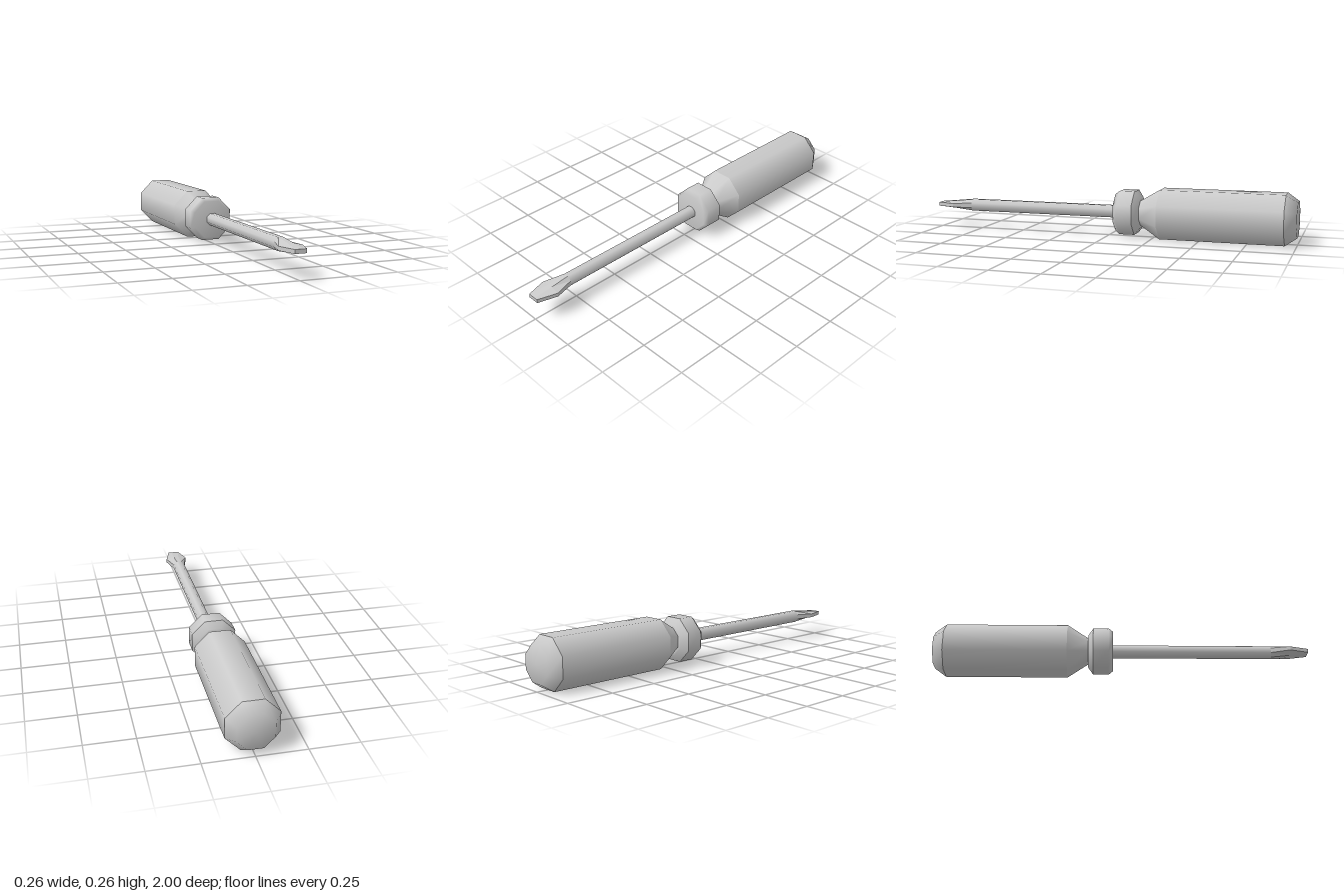
import * as THREE from 'three';

const AXIS_Y = 0.13;
const material = new THREE.MeshStandardMaterial({ color: 0xcccccc });
const C = Math.cos(Math.PI / 8);

// Eight-sided turned band along z; profile holds [half width across flats, z], back to front
function band(name, profile) {
  const points = profile.map(([w, z]) => new THREE.Vector2(w / C, z));
  const geometry = new THREE.LatheGeometry(points, 8, Math.PI / 8);
  geometry.rotateX(Math.PI / 2);
  const mesh = new THREE.Mesh(geometry, material);
  mesh.name = name;
  return mesh;
}

// Cross-section of the blade: outer edge (xo, yo) and flat face (xi, yi)
function section(z, xo, yo, xi, yi) {
  return [[xo, -yo], [xo, yo], [xi, yi], [-xi, yi], [-xo, yo], [-xo, -yo], [-xi, -yi], [xi, -yi]]
    .map(([x, y]) => [x, y, z]);
}

function blade() {
  const loops = [
    section(0.8, 0.032, 0.013, 0.013, 0.032),
    section(0.9, 0.06, 0.01, 0.014, 0.021),
    section(1.0, 0.03, 0.01, 0.013, 0.01),
  ];
  const pos = [];
  for (let i = 0; i < 8; i++) {
    const j = (i + 1) % 8;
    for (let k = 0; k < 2; k++) {
      const a = loops[k], b = loops[k + 1];
      pos.push(...a[i], ...a[j], ...b[j], ...a[i], ...b[j], ...b[i]);
    }
    pos.push(0, 0, 1, ...loops[2][i], ...loops[2][j]);
  }
  const geometry = new THREE.BufferGeometry();
  geometry.setAttribute('position', new THREE.Float32BufferAttribute(pos, 3));
  geometry.computeVertexNormals();
  const mesh = new THREE.Mesh(geometry, material);
  mesh.name = 'blade';
  return mesh;
}

function group(name, ...parts) {
  const g = new THREE.Group();
  g.name = name;
  g.add(...parts);
  return g;
}

export function createModel() {
  // Grip with rounded butt and tapered neck
  const handle = group('handle',
    band('butt', [[0, -1], [0.09, -1], [0.13, -0.94]]),
    band('grip', [[0.13, -0.94], [0.13, -0.29]]),
    band('neck', [[0.13, -0.29], [0.065, -0.18]]));

  // Ring between grip and shaft
  const collar = group('collar',
    band('collarBack', [[0.065, -0.18], [0.08, -0.18], [0.115, -0.153]]),
    band('collarFront', [[0.115, -0.153], [0.115, -0.07], [0.098, -0.047], [0, -0.047]]));

  // Shaft and flat tip
  const rod = group('rod', band('shaft', [[0.032, -0.05], [0.032, 0.8]]), blade());
  rod.position.x = 0.003;

  const model = group('screwdriver', handle, collar, rod);
  model.children.forEach((part) => { part.position.y = AXIS_Y; });
  return model;
}
